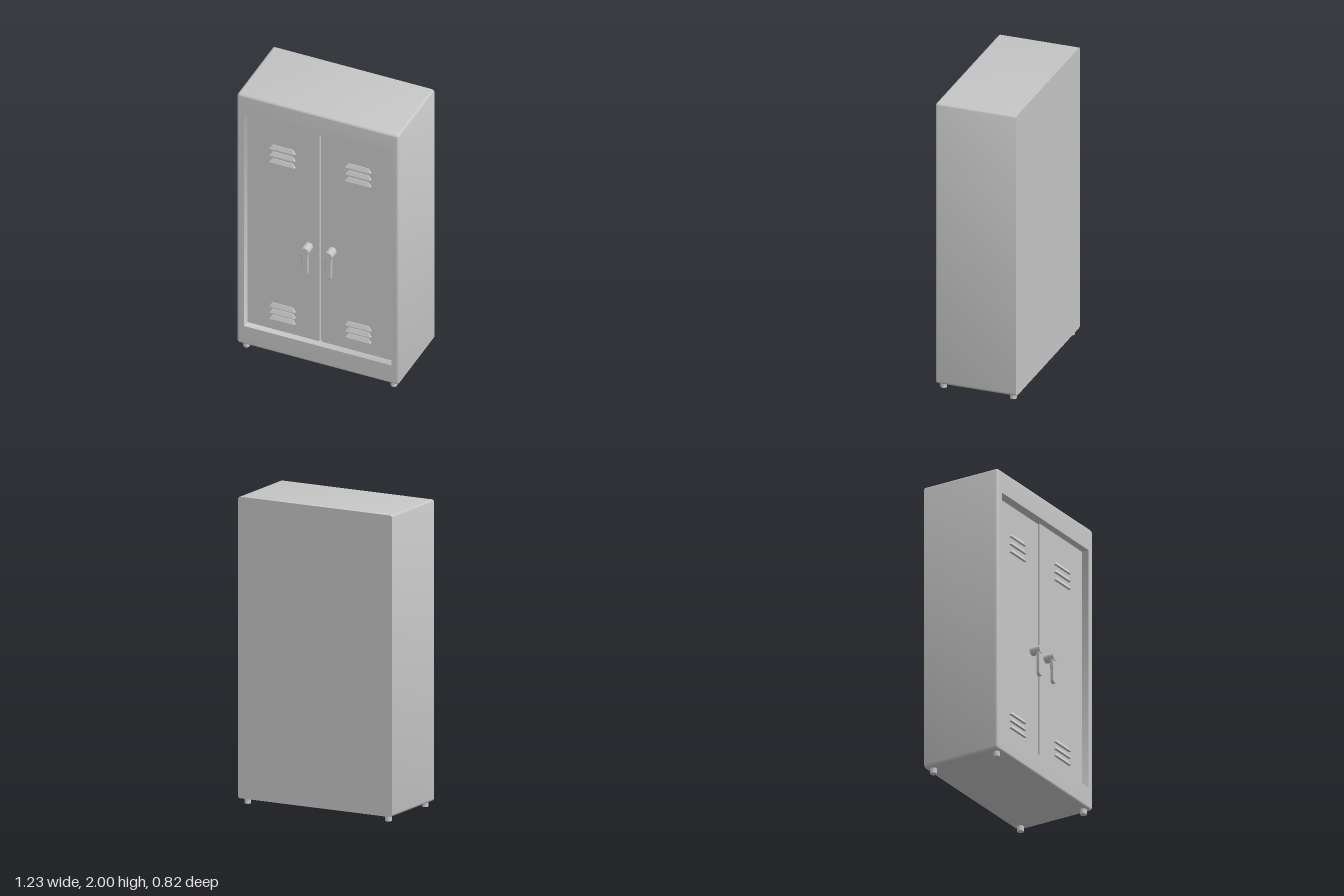
import * as THREE from 'three';
import { toCreasedNormals } from 'three/addons/utils/BufferGeometryUtils.js';

const W = 1.129, D = 0.552, BOTTOM = 0.035, TOP = 2;
const DOOR_Z = 0.23;
const CORNER_STEPS = 4;

// One rounded-rectangle cross-section, counter-clockwise seen from the front
function ring(x0, x1, y0, y1, r, z) {
  const points = [];
  const corners = [[x1 - r, y1 - r], [x0 + r, y1 - r], [x0 + r, y0 + r], [x1 - r, y0 + r]];
  corners.forEach(([cx, cy], c) => {
    for (let i = 0; i <= CORNER_STEPS; i++) {
      const a = (c + i / CORNER_STEPS) * Math.PI / 2;
      points.push([cx + r * Math.cos(a), cy + r * Math.sin(a), z]);
    }
  });
  return points;
}

// Skin a row of equal-sized rings and close both ends with fans
function loft(rings) {
  const n = rings[0].length, index = [];
  const positions = rings.flat();
  for (let k = 0; k < rings.length - 1; k++) {
    for (let i = 0; i < n; i++) {
      const j = (i + 1) % n, a = k * n + i, b = k * n + j;
      index.push(a, b, b + n, a, b + n, a + n);
    }
  }
  const last = (rings.length - 1) * n;
  for (let i = 1; i < n - 1; i++) {
    index.push(0, i + 1, i);
    index.push(last, last + i, last + i + 1);
  }
  const g = new THREE.BufferGeometry();
  g.setAttribute('position', new THREE.Float32BufferAttribute(positions.flat(), 3));
  g.setIndex(index);
  return toCreasedNormals(g, 0.6);
}

// Cabinet shell: sharp back, rounded front edges, deep door opening
function shellGeometry() {
  const r = 0.02, bevel = 0.016, h = W / 2, f = D / 2;
  const outer = (inset, z) => ring(-h + inset, h - inset, BOTTOM + inset, TOP - inset, r - inset, z);
  const opening = (z) => ring(-0.513, 0.513, 0.18, 1.845, 0.001, z);
  const rings = [outer(0, -f), outer(0, f - bevel - 0.003)];
  for (let i = 0; i <= 4; i++) {
    const a = i / 4 * Math.PI / 2;
    rings.push(outer(bevel * (1 - Math.cos(a)), f - bevel * (1 - Math.sin(a))));
  }
  rings.push(outer(bevel + 0.003, f), opening(f), opening(DOOR_Z - 0.025));
  return loft(rings);
}

// Louver: a wedge that slopes out and widens towards its lower edge
function louverGeometry() {
  const g = new THREE.BoxGeometry(0.18, 0.027, 0.018).toNonIndexed();
  const p = g.attributes.position;
  for (let i = 0; i < p.count; i++) {
    if (p.getY(i) > 0) {
      p.setX(i, p.getX(i) * 0.78);
      if (p.getZ(i) > 0) p.setZ(i, -0.003);
    }
  }
  g.computeVertexNormals();
  return g;
}

// Lever outline: slight taper with a round lower end
function leverGeometry() {
  const s = new THREE.Shape();
  s.moveTo(0.02, 0);
  s.lineTo(-0.02, 0);
  s.lineTo(-0.017, -0.165);
  s.absarc(0, -0.165, 0.017, Math.PI, Math.PI * 2, false);
  s.closePath();
  const g = new THREE.ExtrudeGeometry(s, {
    depth: 0.018, bevelEnabled: true, bevelSize: 0.003, bevelThickness: 0.003, bevelSegments: 1, curveSegments: 8,
  });
  return toCreasedNormals(g, 0.6);
}

export function createModel() {
  const metal = new THREE.MeshStandardMaterial({ color: 0xc6c6c6 });
  metal.name = 'grey metal';

  const model = new THREE.Group();
  model.name = 'locker';
  const add = (parent, name, geometry, x, y, z) => {
    const m = new THREE.Mesh(geometry, metal);
    m.name = name;
    m.position.set(x, y, z);
    parent.add(m);
  };

  add(model, 'shell', shellGeometry(), 0, 0, 0);

  // Feet
  const foot = new THREE.CylinderGeometry(0.022, 0.022, 0.04, 16);
  for (const x of [-0.514, 0.514]) {
    for (const z of [-0.237, 0.237]) add(model, 'foot', foot, x, 0.02, z);
  }

  // Doors with their vents and handles; the one on the -x side hangs a little lower
  const louver = louverGeometry();
  const lever = leverGeometry();
  const knob = new THREE.CylinderGeometry(0.03, 0.03, 0.074, 24).rotateX(Math.PI / 2);
  const doors = [
    { name: 'rightDoor', side: -1, x0: -0.512, x1: -0.01, y0: 0.181, y1: 1.832, drop: 0.012 },
    { name: 'leftDoor', side: 1, x0: 0.007, x1: 0.511, y0: 0.183, y1: 1.843, drop: 0 },
  ];
  for (const d of doors) {
    const door = new THREE.Group();
    door.name = d.name;
    model.add(door);
    add(door, 'panel', new THREE.BoxGeometry(d.x1 - d.x0, d.y1 - d.y0, 0.024),
      (d.x0 + d.x1) / 2, (d.y0 + d.y1) / 2, DOOR_Z - 0.012);

    for (const y of [1.635, 0.39]) {
      for (let i = 0; i < 3; i++) {
        add(door, 'louver', louver, d.side * 0.264, y - d.drop - i * (y > 1 ? 0.054 : 0.048), DOOR_Z + 0.008);
      }
    }

    const handle = new THREE.Group();
    handle.name = 'handle';
    handle.position.set(d.side * 0.082, 0.922 - d.drop, DOOR_Z);
    door.add(handle);
    add(handle, 'knob', knob, 0, 0, 0.036);
    add(handle, 'lever', lever, 0, 0, 0.047);
  }

  // The whole cabinet stands turned by fifteen degrees
  model.rotation.y = Math.PI / 12;
  return model;
}
